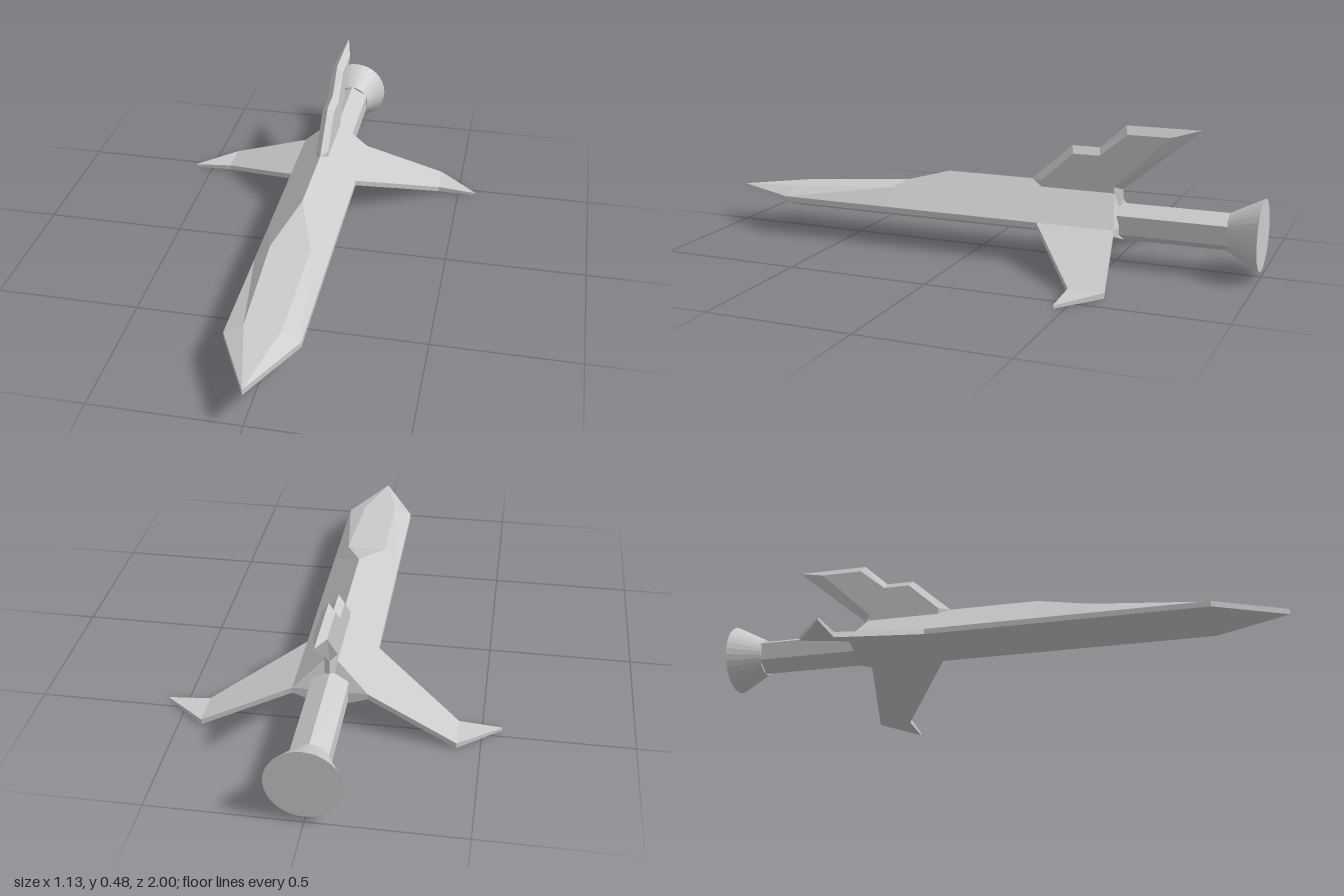
import * as THREE from 'three';

const material = new THREE.MeshStandardMaterial({ color: 0xcccccc, flatShading: true });

// Closed solid through matching rings of [x, y, z]; ends are capped in the plane across the axis.
function loft(name, rings, axis) {
  const tris = [];
  const n = rings[0].length;
  for (let i = 0; i < rings.length - 1; i++) {
    for (let j = 0; j < n; j++) {
      const k = (j + 1) % n;
      const [a, b, c, d] = [rings[i][j], rings[i][k], rings[i + 1][k], rings[i + 1][j]];
      tris.push([a, b, c], [a, c, d]);
    }
  }
  const flat = (p) => (axis === 'x' ? new THREE.Vector2(p[2], p[1]) : new THREE.Vector2(p[0], p[1]));
  const cap = (ring, reverse) => {
    const sign = Math.sign(THREE.ShapeUtils.area(ring.map(flat))) * (reverse ? -1 : 1);
    for (const face of THREE.ShapeUtils.triangulateShape(ring.map(flat), [])) {
      const t = face.map((i) => ring[i]);
      tris.push(THREE.ShapeUtils.area(t.map(flat)) * sign < 0 ? t.reverse() : t);
    }
  };
  cap(rings[0], true);
  cap(rings[rings.length - 1], false);

  // Turn the faces outward, whichever way the rings run
  const v = (p) => new THREE.Vector3(...p);
  const volume = tris.reduce((s, [a, b, c]) => s + v(a).dot(v(b).cross(v(c))), 0);
  if (volume < 0) tris.forEach((t) => t.reverse());

  const geometry = new THREE.BufferGeometry();
  geometry.setAttribute('position', new THREE.Float32BufferAttribute(tris.flat(2), 3));
  geometry.computeVertexNormals();
  const mesh = new THREE.Mesh(geometry, material);
  mesh.name = name;
  return mesh;
}

// Fuselage: gabled roof, thin vertical chine, shallow V keel
function fuselage() {
  const section = (z, topX, topY, topZ = z, half = 0.125, keel = 0.077) => [
    [topX, topY, topZ], [half, 0.14, z], [half, 0.12, z], [0, keel, z],
    [-half, 0.12, z], [-half, 0.14, z], [-topX, topY, topZ],
  ];
  return loft('fuselage', [
    section(-0.525, 0, 0.265, -0.49),
    section(0.13, 0, 0.265),
    section(0.33, 0.07, 0.2),
    section(0.745, 0.062, 0.168, 0.73),
    section(1, 0, 0.14, 1, 0, 0.12),
  ], 'z');
}

// Drooping swept wing with a nearly level tip
function wing(side) {
  const rib = (x, top, bottom, lead, trail) => [
    [x * side, top, lead], [x * side, top, trail],
    [x * side, bottom, trail], [x * side, bottom, lead],
  ];
  return loft(side > 0 ? 'leftWing' : 'rightWing', [
    rib(0.1, 0.15, 0.13, -0.235, -0.52),
    rib(0.125, 0.14, 0.12, -0.25, -0.525),
    rib(0.423, 0.021, 0.002, -0.465, -0.585),
    rib(0.567, 0.01, 0, -0.465, -0.467),
  ], 'x');
}

// Stepped tail fin: flat sides bevelled out to a sharp centre edge; points are [z, y]
function fin() {
  const edge = [[-0.19, 0.2], [-0.19, 0.265], [-0.335, 0.395], [-0.435, 0.395],
    [-0.525, 0.478], [-0.785, 0.478], [-0.52, 0.255], [-0.527, 0.14]];
  const face = [[-0.23, 0.2], [-0.23, 0.265], [-0.345, 0.37], [-0.44, 0.37],
    [-0.535, 0.45], [-0.685, 0.45], [-0.492, 0.265], [-0.515, 0.14]];
  const at = (x, points) => points.map(([z, y]) => [x, y, z]);
  return loft('tailFin', [at(-0.022, face), at(0, edge), at(0.022, face)], 'x');
}

export function createModel() {
  const model = new THREE.Group();
  model.name = 'spaceRocket';
  model.add(fuselage(), wing(1), wing(-1), fin());

  // Six-sided exhaust pipe, corner up
  const pipeGeometry = new THREE.CylinderGeometry(0.065, 0.065, 0.4, 6).rotateX(Math.PI / 2);
  const pipe = new THREE.Mesh(pipeGeometry.scale(1.08, 1, 1), material);
  pipe.name = 'exhaustPipe';
  pipe.position.set(0, 0.143, -0.7);

  // Flared nozzle with a flat end
  const nozzleGeometry = new THREE.CylinderGeometry(0.065, 0.122, 0.11, 32).rotateX(Math.PI / 2);
  const nozzle = new THREE.Mesh(nozzleGeometry, material);
  nozzle.name = 'nozzle';
  nozzle.position.set(0, 0.143, -0.945);

  model.add(pipe, nozzle);
  return model;
}
